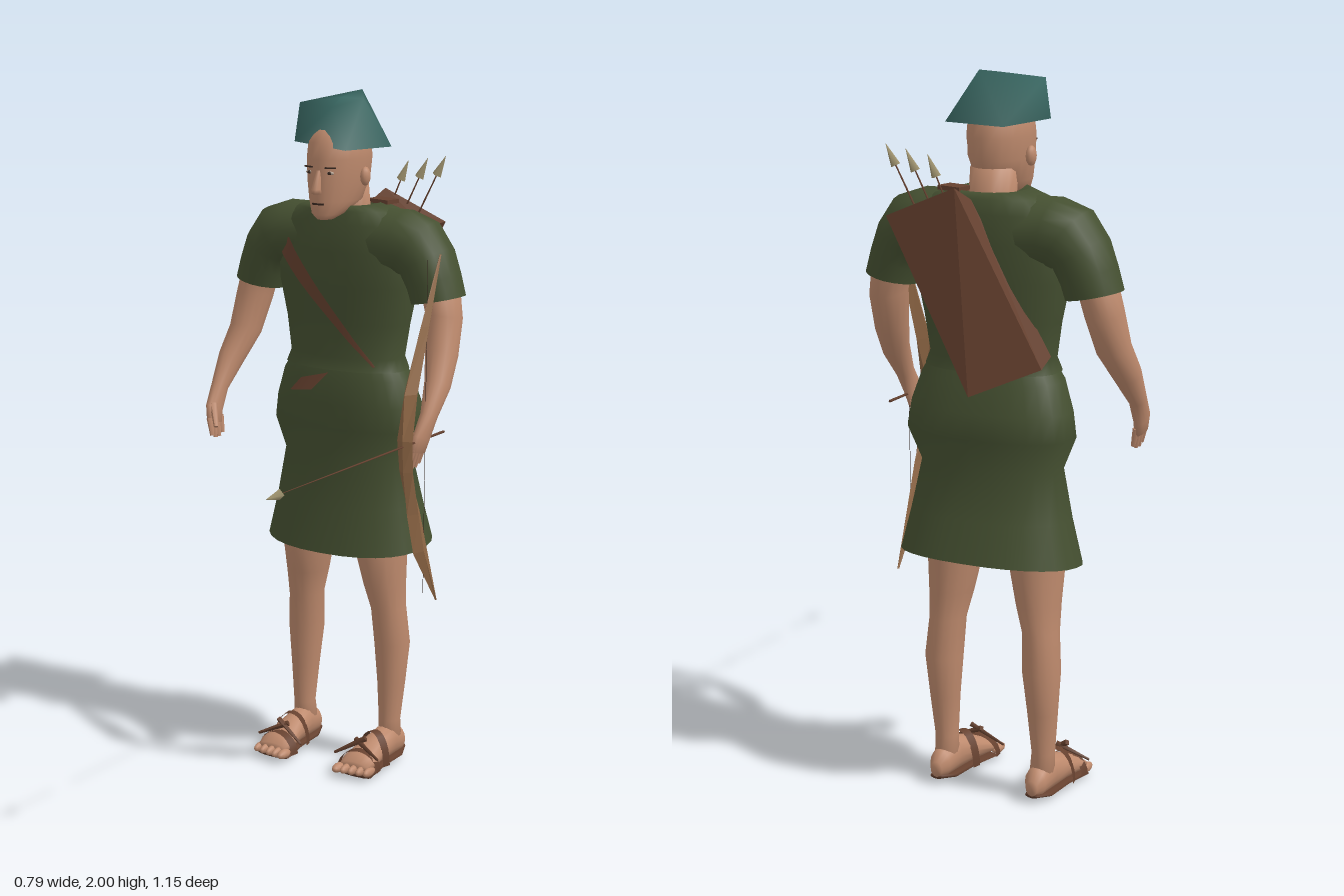
import * as THREE from 'three';

const V = (x, y, z) => new THREE.Vector3(x, y, z);
const mat = (name, color, double) => {
  const m = new THREE.MeshStandardMaterial({ color });
  m.name = name;
  if (double) m.side = THREE.DoubleSide;
  return m;
};

export function createModel() {
  const skin = mat('skin', 0xbe8a6d);
  const cloth = mat('green cloth', 0x455031, true);
  const felt = mat('teal felt', 0x37645f, true);
  const leather = mat('leather', 0x66412f, true);
  const wood = mat('bow wood', 0x906846);
  const tip = mat('arrow tip', 0x9c906c);
  const dark = mat('dark brown', 0x3a2a22);
  const white = mat('eye white', 0xb8a594);

  const model = new THREE.Group();
  const add = (name, geo, material) => {
    const m = new THREE.Mesh(geo, material);
    m.name = name;
    model.add(m);
  };

  // Skin a stack of point rings (bottom to top)
  function skinRings(rings, caps = true, flat = false) {
    const n = rings[0].length, pos = [], idx = [];
    rings.forEach(r => r.forEach(p => pos.push(p.x, p.y, p.z)));
    for (let j = 0; j < rings.length - 1; j++) for (let i = 0; i < n; i++) {
      const a = j * n + i, b = j * n + (i + 1) % n;
      idx.push(a, a + n, b, b, a + n, b + n);
    }
    if (caps) [0, rings.length - 1].forEach((j, top) => {
      const c = rings[j].reduce((s, p) => s.add(p), V(0, 0, 0)).divideScalar(n);
      const k = pos.length / 3;
      pos.push(c.x, c.y, c.z);
      for (let i = 0; i < n; i++) {
        const a = j * n + i, b = j * n + (i + 1) % n;
        if (top) idx.push(k, b, a); else idx.push(k, a, b);
      }
    });
    let g = new THREE.BufferGeometry();
    g.setAttribute('position', new THREE.Float32BufferAttribute(pos, 3));
    g.setIndex(idx);
    if (flat) g = g.toNonIndexed();
    g.computeVertexNormals();
    return g;
  }

  // Rows: [x, y, z, half width, half depth, tilt about x, tilt about z]
  function loft(rows, n = 16, caps = true, p = 2, flat = false) {
    const pw = v => Math.sign(v) * Math.abs(v) ** (2 / p);
    return skinRings(rows.map(([x, y, z, a, b, tx = 0, tz = 0]) => {
      const e = new THREE.Euler(tx, 0, tz);
      return Array.from({ length: n }, (_, i) => {
        const t = i / n * Math.PI * 2;
        return V(a * pw(Math.cos(t)), 0, b * pw(Math.sin(t))).applyEuler(e).add(V(x, y, z));
      });
    }), caps, flat);
  }

  function rod(a, b, r0, r1, n = 6) {
    const d = b.clone().sub(a), g = new THREE.CylinderGeometry(r1, r0, d.length(), n);
    g.applyQuaternion(new THREE.Quaternion().setFromUnitVectors(V(0, 1, 0), d.normalize()));
    const c = a.clone().add(b).multiplyScalar(0.5);
    return g.translate(c.x, c.y, c.z);
  }

  const ball = (x, y, z, a, b, c) => new THREE.SphereGeometry(1, 12, 8).scale(a, b, c).translate(x, y, z);

  // Add a left part and its mirrored right copy
  function pair(name, geo, material) {
    add('left ' + name, geo, material);
    const g = geo.clone().scale(-1, 1, 1), ix = g.index.array;
    for (let i = 0; i < ix.length; i += 3) [ix[i], ix[i + 1]] = [ix[i + 1], ix[i]];
    g.computeVertexNormals();
    add('right ' + name, g, material);
  }

  // Tunic rows: [height, half width, front z, back z, tilt]
  const P = 2.3;
  const tunicRows = rows => rows.map(([y, w, f, b, t = 0]) => [0, y, (f + b) / 2, w, (f - b) / 2, t]);
  const top = tunicRows([
    [1.205, 0.196, -0.268, -0.486], [1.24, 0.182, -0.278, -0.478],
    [1.34, 0.198, -0.278, -0.482], [1.45, 0.222, -0.268, -0.49], [1.55, 0.226, -0.265, -0.492],
    [1.63, 0.21, -0.272, -0.488], [1.668, 0.16, -0.285, -0.475], [1.685, 0.095, -0.28, -0.465],
    [1.66, 0.07, -0.31, -0.45]]);
  const skirt = tunicRows([
    [0.68, 0.26, -0.23, -0.565, 0.12], [0.8, 0.232, -0.255, -0.535, 0.06], [0.94, 0.205, -0.275, -0.5],
    [1.03, 0.245, -0.268, -0.52], [1.1, 0.234, -0.266, -0.512], [1.18, 0.207, -0.27, -0.49], [1.24, 0.17, -0.29, -0.47]]);
  add('tunic top', loft(top, 28, false, P), cloth);
  add('tunic skirt', loft(skirt, 28, false, P), cloth);
  pair('sleeve', loft([
    [0.302, 1.425, -0.38, 0.079, 0.082, 0, 0.2], [0.287, 1.475, -0.38, 0.079, 0.086, 0, 0.35],
    [0.264, 1.53, -0.38, 0.083, 0.093, 0, 0.55], [0.227, 1.565, -0.38, 0.099, 0.097, 0, 0.95],
    [0.18, 1.577, -0.38, 0.1, 0.1, 0, 1.4], [0.1, 1.575, -0.38, 0.1, 0.1, 0, 1.57]], 18, false), cloth);

  // Chest strap and belt knot follow the front of the tunic
  function frontZ(x, y) {
    const i = Math.max(1, top.findIndex(r => r[1] >= y)), a = top[i - 1], b = top[i];
    const t = (y - a[1]) / (b[1] - a[1]), L = k => a[k] + (b[k] - a[k]) * t;
    return L(2) + L(4) * Math.max(0, 1 - Math.abs(x / L(3)) ** P) ** (1 / P) + 0.01;
  }
  function patch(name, a0, a1, b0, b1, n = 10) {
    const pos = [], idx = [];
    for (let i = 0; i <= n; i++) for (const [p, q] of [[a0, a1], [b0, b1]]) {
      const x = p[0] + (q[0] - p[0]) * i / n, y = p[1] + (q[1] - p[1]) * i / n;
      pos.push(x, y, frontZ(x, y));
    }
    for (let i = 0; i < n; i++) idx.push(2 * i, 2 * i + 1, 2 * i + 2, 2 * i + 1, 2 * i + 3, 2 * i + 2);
    const g = new THREE.BufferGeometry();
    g.setAttribute('position', new THREE.Float32BufferAttribute(pos, 3));
    g.setIndex(idx);
    g.computeVertexNormals();
    add(name, g, leather);
  }
  patch('chest strap', [-0.2, 1.555], [0.14, 1.222], [-0.142, 1.58], [0.145, 1.225]);
  patch('belt knot', [-0.12, 1.135], [-0.04, 1.145], [-0.085, 1.175], [0.01, 1.2], 4);
  add('shoulder strap', new THREE.BoxGeometry(0.075, 0.012, 0.05).rotateY(-0.2).translate(0.085, 1.686, -0.43), leather);

  // Head, neck and face
  add('neck', loft([[0, 1.58, -0.385, 0.075, 0.07], [0, 1.66, -0.378, 0.064, 0.064], [0, 1.74, -0.365, 0.064, 0.066]]), skin);
  add('head', loft([
    [0, 1.648, -0.252, 0.022, 0.028], [0, 1.663, -0.265, 0.044, 0.052], [0, 1.7, -0.31, 0.068, 0.1],
    [0, 1.76, -0.322, 0.08, 0.113], [0, 1.82, -0.326, 0.086, 0.112], [0, 1.865, -0.326, 0.082, 0.106],
    [0, 1.9, -0.33, 0.064, 0.085], [0, 1.925, -0.335, 0.03, 0.04]], 20), skin);
  add('nose', loft([[0, 1.724, -0.206, 0.016, 0.014], [0, 1.737, -0.202, 0.013, 0.017], [0, 1.79, -0.217, 0.007, 0.01]], 8), skin);
  add('mouth', new THREE.BoxGeometry(0.038, 0.005, 0.006).translate(0, 1.694, -0.212), dark);
  pair('ear', ball(0.087, 1.768, -0.325, 0.014, 0.027, 0.019), skin);
  pair('eye', ball(0.034, 1.783, -0.222, 0.013, 0.005, 0.006), white);
  pair('pupil', ball(0.034, 1.783, -0.218, 0.006, 0.005, 0.004), dark);
  pair('brow', new THREE.BoxGeometry(0.032, 0.004, 0.006).rotateY(0.3).translate(0.036, 1.798, -0.22), dark);

  // Crooked four-sided hat, open below
  const peak = V(-0.01, 1.985, -0.345);
  add('hat', skinRings([
    [V(0.14, 1.85, -0.38), V(0.085, 1.85, -0.22), V(-0.115, 1.86, -0.265), V(-0.085, 1.86, -0.475)],
    [V(0.045, 1.98, -0.38), V(0.02, 1.965, -0.25), V(-0.11, 1.97, -0.285), V(0, 2.0, -0.445)],
    [peak, peak, peak, peak]
  ], false), felt);

  // Arms and hands
  pair('arm', loft([
    [0.35, 1.02, -0.192, 0.014, 0.034, -0.2], [0.356, 1.06, -0.2, 0.019, 0.036, -0.4],
    [0.36, 1.12, -0.235, 0.024, 0.029, -0.5], [0.355, 1.2, -0.29, 0.038, 0.042, -0.55],
    [0.338, 1.28, -0.34, 0.048, 0.05, -0.4], [0.326, 1.38, -0.372, 0.052, 0.062, -0.2],
    [0.307, 1.46, -0.38, 0.055, 0.066], [0.27, 1.53, -0.38, 0.05, 0.06]]), skin);
  for (let i = 0; i < 4; i++) {
    const z = -0.168 - i * 0.018;
    pair('finger ' + (i + 1), rod(V(0.338, 0.972 + 0.008 * Math.abs(i - 1.5), z + 0.005), V(0.35, 1.035, z), 0.006, 0.01), skin);
  }
  pair('thumb', rod(V(0.318, 1.015, -0.155), V(0.348, 1.075, -0.185), 0.007, 0.012), skin);

  // Legs and feet
  pair('leg', loft([
    [0.15, 0.06, -0.39, 0.034, 0.042], [0.152, 0.13, -0.386, 0.032, 0.035], [0.153, 0.25, -0.392, 0.042, 0.045],
    [0.152, 0.37, -0.396, 0.053, 0.057], [0.145, 0.48, -0.385, 0.05, 0.06], [0.135, 0.56, -0.378, 0.06, 0.075],
    [0.127, 0.66, -0.37, 0.073, 0.09], [0.115, 0.8, -0.375, 0.085, 0.1], [0.11, 0.95, -0.385, 0.085, 0.09]]), skin);
  const Q = Math.PI / 2;
  pair('foot', loft([
    [0.15, 0.045, -0.453, 0.018, 0.022, Q], [0.15, 0.055, -0.43, 0.032, 0.04, Q], [0.15, 0.065, -0.37, 0.038, 0.052, Q],
    [0.148, 0.056, -0.3, 0.043, 0.042, Q], [0.146, 0.04, -0.22, 0.054, 0.026, Q], [0.146, 0.032, -0.195, 0.05, 0.016, Q]]), skin);
  for (let i = 0; i < 5; i++)
    pair('toe ' + (i + 1), ball(0.098 + i * 0.024, 0.024, -0.186 - i * 0.004, i ? 0.011 : 0.015, 0.014, 0.03), skin);
  pair('sandal sole', loft([
    [0.15, 0.025, -0.452, 0.02, 0.008, Q], [0.15, 0.015, -0.4, 0.04, 0.009, Q],
    [0.148, 0.012, -0.3, 0.042, 0.008, Q], [0.146, 0.007, -0.2, 0.056, 0.007, Q]], 12), leather);
  const band = (w, rx, ry, tilt, x, y, z) => new THREE.CylinderGeometry(1, 1, w, 12, 1, true, -Q, Math.PI)
    .rotateX(-Q).scale(rx, ry, 1).rotateY(tilt).translate(x, y, z);
  pair('toe strap', band(0.03, 0.064, 0.06, 0.15, 0.143, 0.015, -0.228), leather);
  pair('instep strap', band(0.028, 0.054, 0.098, -0.25, 0.148, 0.015, -0.305), leather);
  pair('strap knot', rod(V(0.06, 0.052, -0.222), V(0.155, 0.108, -0.245), 0.004, 0.009, 4), leather);
  pair('strap end', rod(V(0.212, 0.058, -0.222), V(0.12, 0.1, -0.245), 0.004, 0.009, 4), leather);

  // Bow with string, and the nocked arrow
  const bx = 0.355;
  add('bow', loft([
    [bx, 0.56, -0.3, 0.003, 0.004], [bx, 0.73, -0.205, 0.013, 0.038], [bx, 0.85, -0.165, 0.017, 0.035],
    [bx, 0.98, -0.122, 0.022, 0.017], [bx, 1.07, -0.113, 0.025, 0.013], [bx, 1.2, -0.143, 0.021, 0.036],
    [bx, 1.38, -0.216, 0.013, 0.025], [bx, 1.57, -0.295, 0.003, 0.004]], 4, true, 2, true), wood);
  add('bow string', rod(V(bx, 0.6, -0.225), V(bx, 1.565, -0.225), 0.0008, 0.0008, 4), dark);

  function arrow(name, a, b, r0, r1) {
    const neck = b.clone().sub(a).setLength(0.062).negate().add(b);
    add(name + ' shaft', rod(a, neck, r0, r1, 5), leather);
    add(name + ' head', rod(neck, b, 0.015, 0.0005, 4), tip);
  }
  arrow('nocked arrow', V(bx, 1.055, -0.33), V(bx, 1.055, 0.578), 0.004, 0.001);

  // Quiver slung across the back, and its arrows
  add('quiver', skinRings([
    [V(-0.025, 1.16, -0.565), V(-0.04, 1.2, -0.48), V(-0.2, 1.26, -0.43), V(-0.2, 1.235, -0.485)],
    [V(0.22, 1.62, -0.557), V(0.19, 1.61, -0.5), V(0, 1.67, -0.495), V(0.02, 1.705, -0.547)]
  ], true, true), leather);
  [[0.215, 1.81, 0.13], [0.155, 1.8, 0.08], [0.09, 1.79, 0.03]].forEach(([x, y, x0], i) =>
    arrow('quiver arrow ' + (i + 1), V(x0, 1.62, -0.535), V(x, y, -0.56), 0.003, 0.002));

  return model;
}
